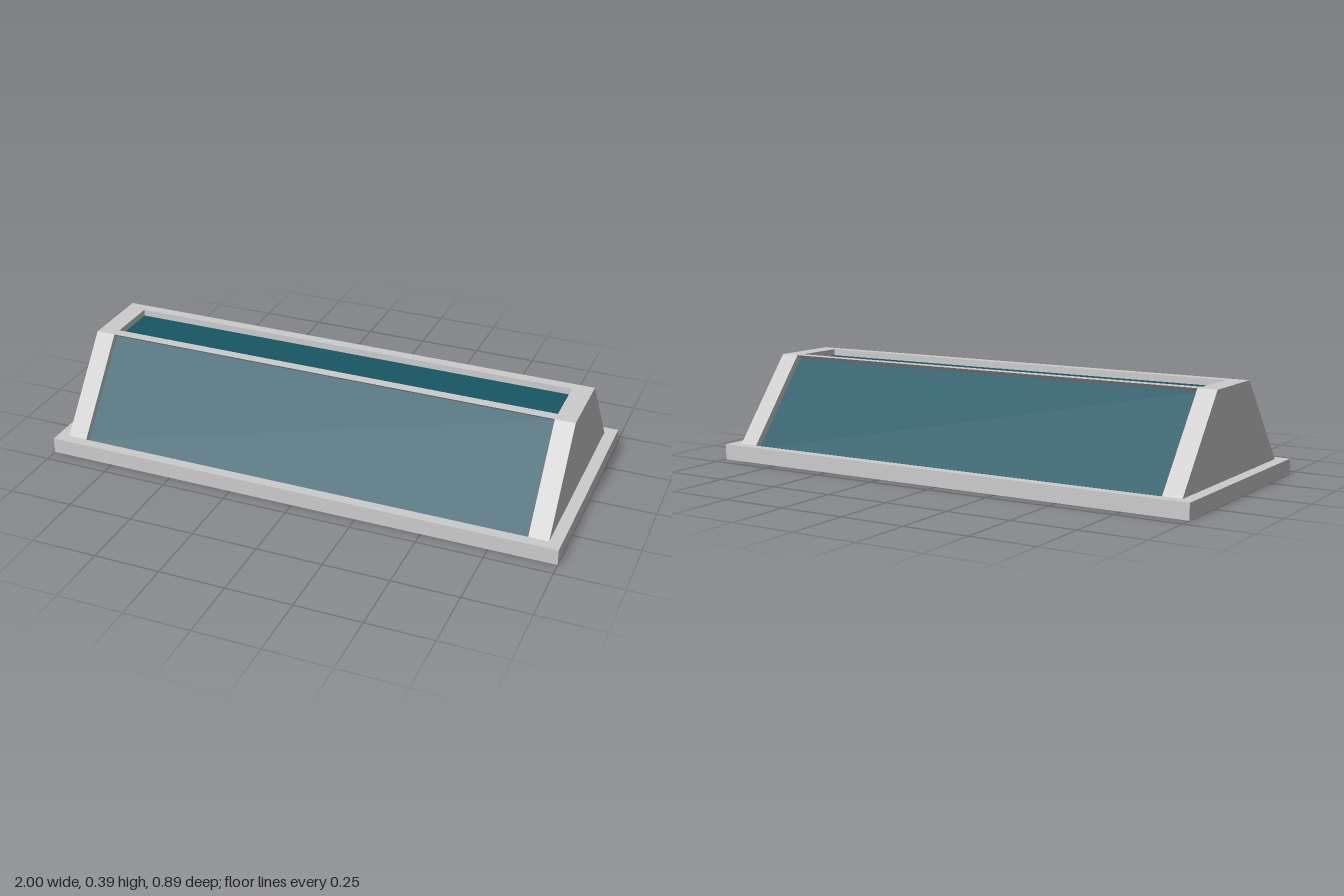
import * as THREE from 'three';

const BASE_Z = 0.446, BASE_Y = 0.06;       // plinth half depth and height
const FOOT_Z = 0.405, TOP_Z = 0.14, TOP_Y = 0.39; // trapezoid body
const WELL_Z = 0.1, OPEN_X = 0.88, END_X = 0.955;
const INSET = 0.025, PANE = 0.01, DEPTH = INSET + PANE;

const slope = Math.hypot(FOOT_Z - TOP_Z, TOP_Y - BASE_Y);
const nz = (TOP_Y - BASE_Y) / slope, ny = (FOOT_Z - TOP_Z) / slope; // outward normal of the slope

// Extrude a mirrored (z, y) half profile along x
function slab(half, x0, x1) {
  const pts = [...half, ...half.map(([z, y]) => [-z, y]).reverse()];
  const shape = new THREE.Shape(pts.map(([z, y]) => new THREE.Vector2(z, y)));
  const geo = new THREE.ExtrudeGeometry(shape, { depth: x1 - x0, bevelEnabled: false });
  return geo.rotateY(Math.PI / 2).translate(x0, 0, 0);
}

export function createModel() {
  const group = new THREE.Group();
  const grey = new THREE.MeshStandardMaterial({ color: 0xcccccc, flatShading: true });
  const teal = new THREE.MeshStandardMaterial({ color: 0x185765, flatShading: true });
  const add = (name, geo, mat) => {
    const mesh = new THREE.Mesh(geo, mat);
    mesh.name = name;
    group.add(mesh);
    return mesh;
  };

  // Middle of the frame, with a recess in each slope and in the top
  add('frameMiddle', slab([
    [BASE_Z, 0], [BASE_Z, BASE_Y], [FOOT_Z, BASE_Y],
    [FOOT_Z - nz * DEPTH, BASE_Y - ny * DEPTH],
    [TOP_Z - nz * DEPTH, TOP_Y - ny * DEPTH],
    [TOP_Z, TOP_Y], [WELL_Z, TOP_Y], [WELL_Z, TOP_Y - DEPTH],
  ], -OPEN_X, OPEN_X), grey);

  // Solid trapezoid ends and the plinth beyond them
  const endProfile = [[BASE_Z, 0], [BASE_Z, BASE_Y], [FOOT_Z, BASE_Y], [TOP_Z, TOP_Y]];
  const plinthProfile = [[BASE_Z, 0], [BASE_Z, BASE_Y]];
  for (const [side, s] of [['left', 1], ['right', -1]]) {
    const span = (a, b) => (s > 0 ? [a, b] : [-b, -a]);
    add(side + 'EndBlock', slab(endProfile, ...span(OPEN_X, END_X)), grey);
    add(side + 'PlinthEdge', slab(plinthProfile, ...span(END_X, 1)), grey);
  }

  // Sloping panes
  const off = INSET + PANE / 2;
  for (const [name, s] of [['frontPane', 1], ['backPane', -1]]) {
    const pane = add(name, new THREE.BoxGeometry(2 * OPEN_X, PANE, slope), teal);
    pane.position.set(0, (BASE_Y + TOP_Y) / 2 - ny * off, s * ((FOOT_Z + TOP_Z) / 2 - nz * off));
    pane.rotation.x = s * Math.atan2(nz, ny);
  }

  // Flat top pane
  add('topPane', new THREE.BoxGeometry(2 * OPEN_X, PANE, 2 * WELL_Z), teal)
    .position.y = TOP_Y - off;

  return group;
}
